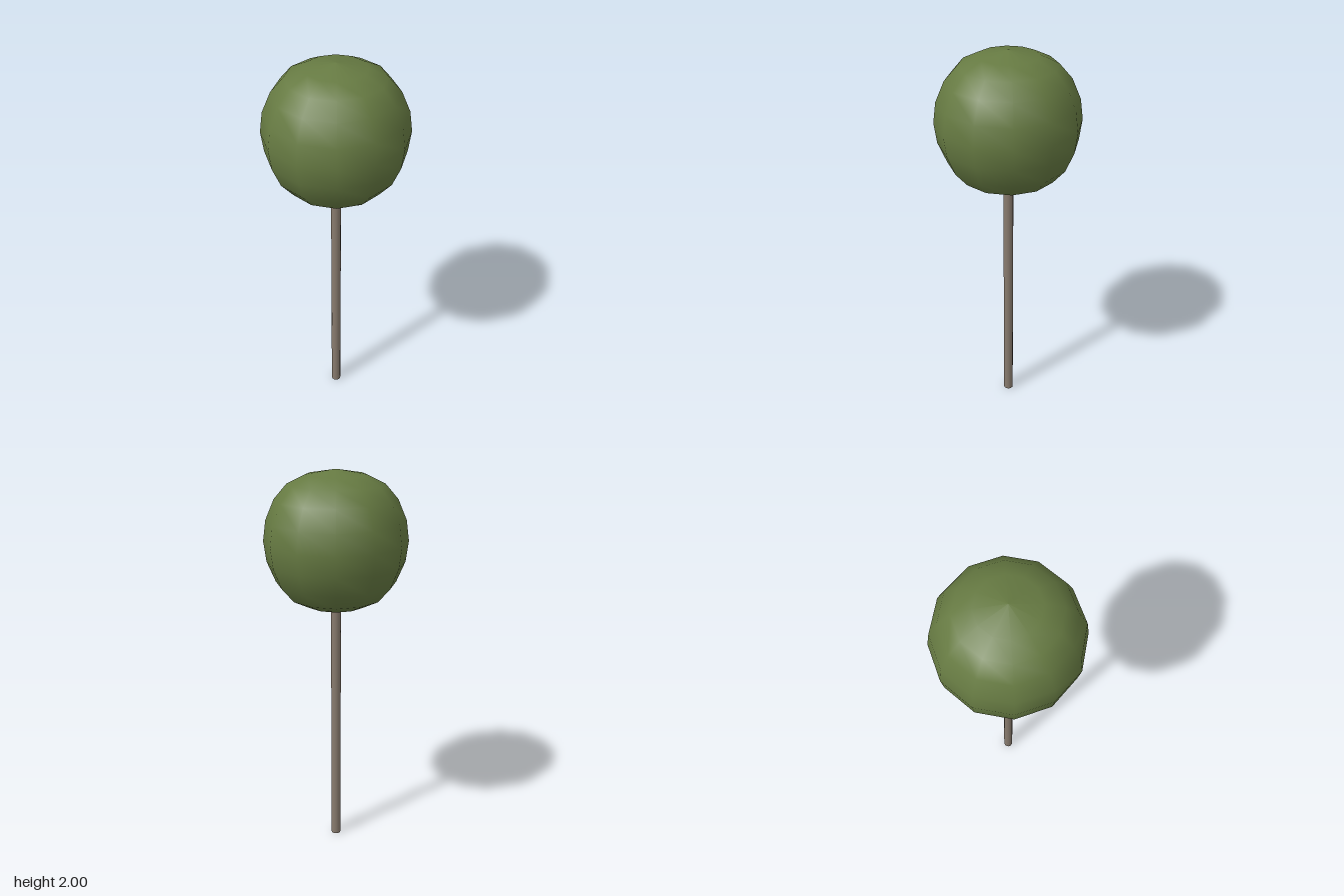
import * as THREE from 'three';

export function createModel() {
  const group = new THREE.Group();
  group.name = 'ballTree';

  // Clipped round crown: upper half profile mirrored about its middle
  const middle = 1.653;
  const half = [[0.358, 0], [0.344, 0.103], [0.301, 0.204], [0.238, 0.277], [0.148, 0.321], [0, 0.347]];
  const profile = [
    ...half.slice(1).reverse().map(([r, y]) => new THREE.Vector2(r, middle - y)),
    ...half.map(([r, y]) => new THREE.Vector2(r, middle + y)),
  ];
  const crown = new THREE.Mesh(
    new THREE.LatheGeometry(profile, 12),
    new THREE.MeshStandardMaterial({ color: 0x667a42 })
  );
  crown.name = 'crown';

  // Thin straight trunk reaching a little into the crown
  const height = 1.36;
  const trunk = new THREE.Mesh(
    new THREE.CylinderGeometry(0.025, 0.025, height, 12),
    new THREE.MeshStandardMaterial({ color: 0x887b6e })
  );
  trunk.name = 'trunk';
  trunk.position.y = height / 2;

  group.add(crown, trunk);
  return group;
}
